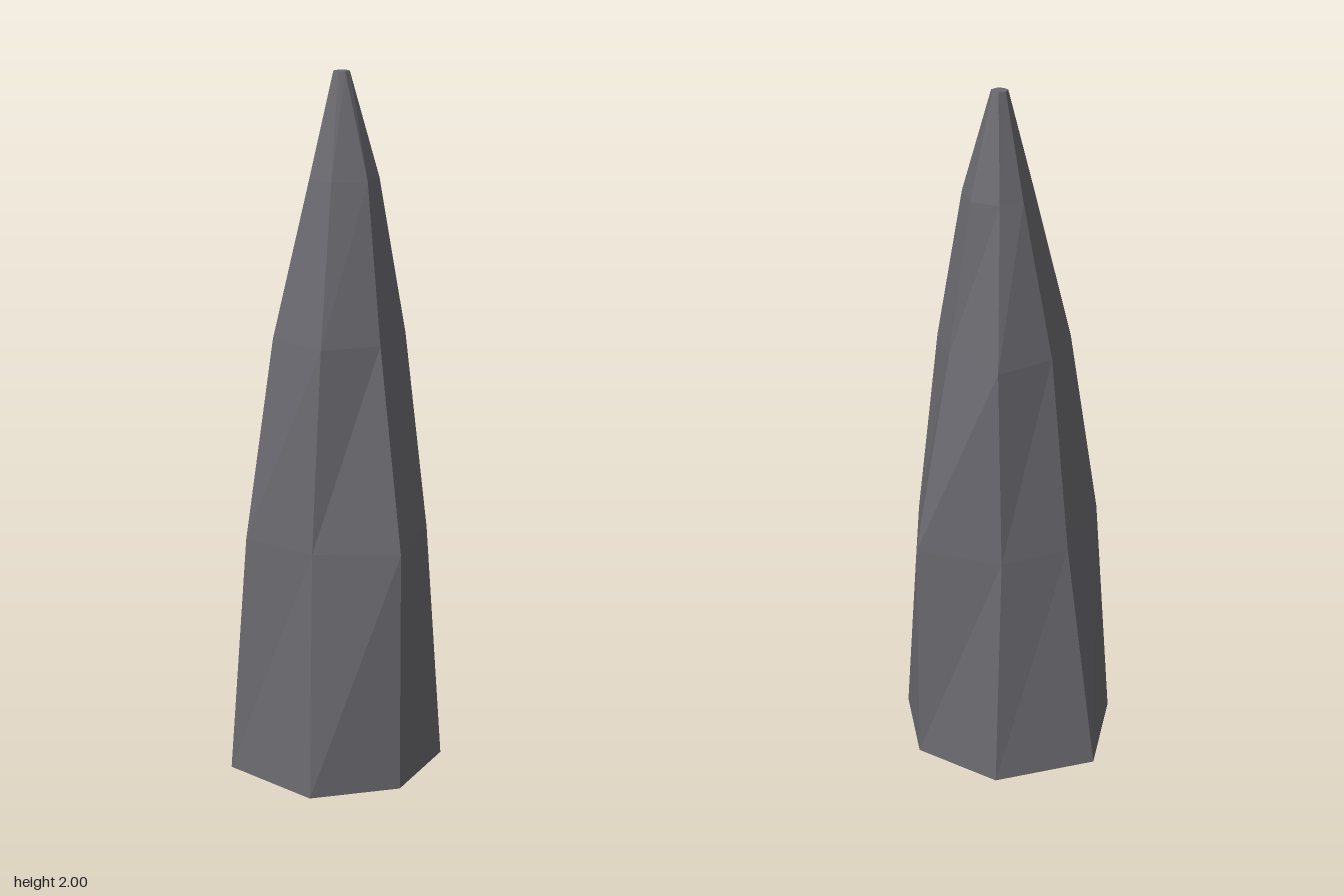
import * as THREE from 'three';

// Seven-sided cross-sections of the stone, from base to tip: height, then x, z corners
const RINGS = [
  { y: 0, p: [[0.31, 0.005], [0.195, 0.225], [-0.058, 0.296], [-0.3, 0.131], [-0.311, -0.148], [-0.049, -0.3], [0.207, -0.222]] },
  { y: 0.72, p: [[0.257, 0.004], [0.19, 0.225], [-0.053, 0.232], [-0.245, 0.132], [-0.213, -0.116], [-0.051, -0.234], [0.198, -0.223]] },
  { y: 1.29, p: [[0.19, 0.004], [0.126, 0.141], [-0.03, 0.196], [-0.168, 0.084], [-0.15, -0.07], [-0.031, -0.19], [0.124, -0.116]] },
  { y: 1.72, p: [[0.115, 0.004], [0.087, 0.075], [-0.008, 0.1], [-0.07, 0.048], [-0.062, -0.041], [-0.008, -0.079], [0.072, -0.071]] },
  { y: 2, p: [[0.035, 0.004], [0.024, 0.02], [0.006, 0.023], [-0.008, 0.012], [-0.006, -0.006], [0.01, -0.018], [0.028, -0.012]] },
];

// Joins the cross-sections into a faceted solid with closed ends
function loft(rings) {
  const n = rings[0].p.length;
  const last = (rings.length - 1) * n;
  const positions = rings.flatMap(({ y, p }) => p.flatMap(([x, z]) => [x, y, z]));
  const index = [];
  for (let r = 0; r < last; r += n) {
    for (let i = 0; i < n; i++) {
      const a = r + i, b = r + (i + 1) % n;
      index.push(a, a + n, b, b, a + n, b + n);
    }
  }
  for (let i = 1; i < n - 1; i++) {
    index.push(0, i, i + 1); // base
    index.push(last, last + i + 1, last + i); // tip
  }
  const indexed = new THREE.BufferGeometry();
  indexed.setAttribute('position', new THREE.Float32BufferAttribute(positions, 3));
  indexed.setIndex(index);
  const geometry = indexed.toNonIndexed();
  geometry.computeVertexNormals();
  return geometry;
}

export function createModel() {
  const group = new THREE.Group();
  group.name = 'rockSpire';
  const stone = new THREE.MeshStandardMaterial({ color: 0x6a696f });
  stone.name = 'greyStone';
  stone.flatShading = true;
  const spire = new THREE.Mesh(loft(RINGS), stone);
  spire.name = 'spire';
  group.add(spire);
  return group;
}
